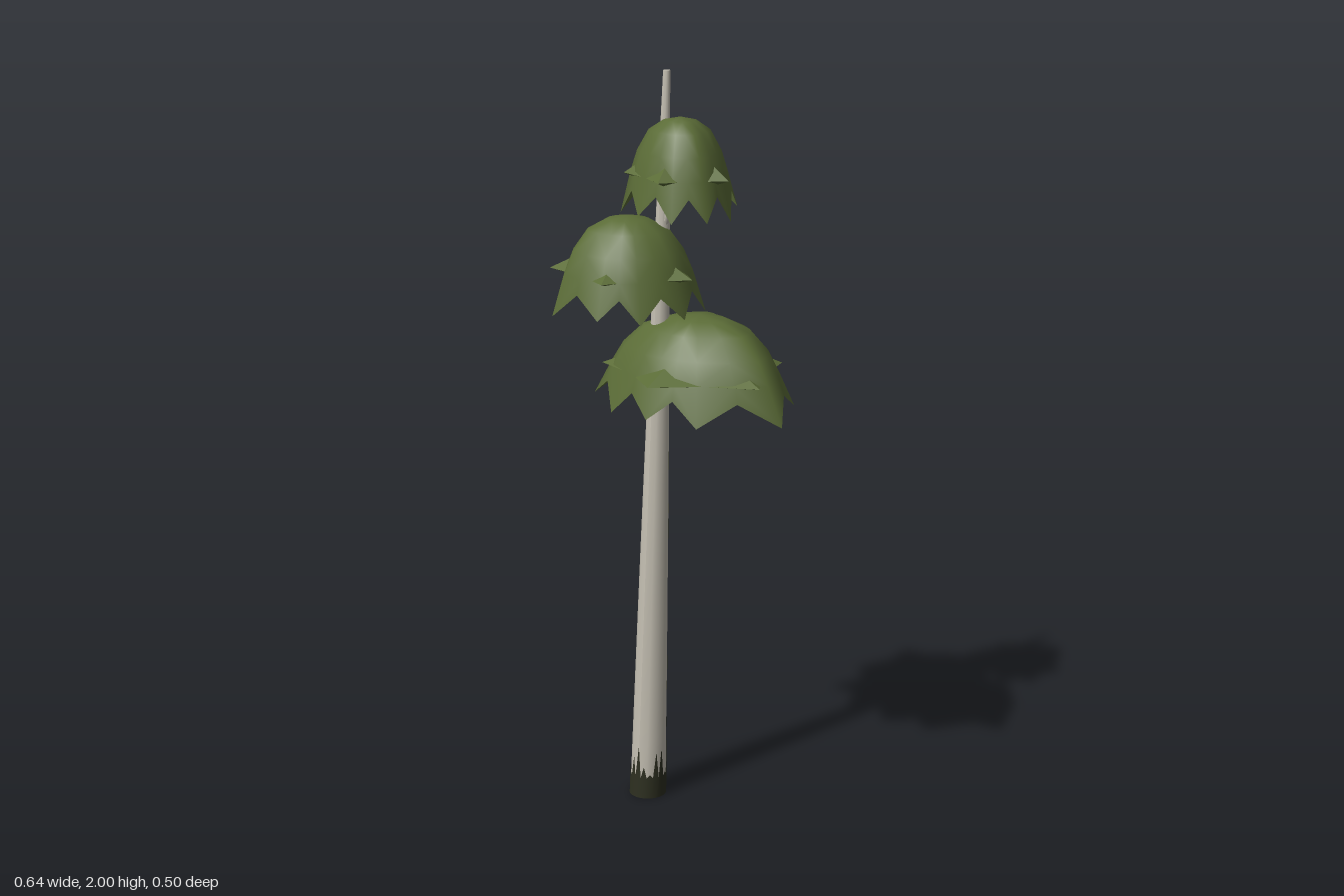
import * as THREE from 'three';

const bark = new THREE.MeshStandardMaterial({ color: 0xc4bfb2, side: THREE.DoubleSide });
bark.name = 'pale bark';
const darkBark = new THREE.MeshStandardMaterial({ color: 0x2d2f20, side: THREE.DoubleSide });
darkBark.name = 'dark bark';
const leaf = new THREE.MeshStandardMaterial({ color: 0x5b6c37, side: THREE.DoubleSide });
leaf.name = 'foliage green';

// Trunk axis and radius at a height: it leans slightly and tapers
const trunkCentre = (y) => new THREE.Vector3(-0.096 + 0.0225 * y, y, 0.045 - 0.0175 * y);
const trunkRadius = (y) => 0.049 - 0.0145 * y - 0.0027 * y * y;
const trunkPoint = (a, y, lift = 0) => {
  const c = trunkCentre(y), r = trunkRadius(y) + lift;
  return c.set(c.x + r * Math.cos(a), y, c.z + r * Math.sin(a));
};

function named(name, geometry, material) {
  const mesh = new THREE.Mesh(geometry, material);
  mesh.name = name;
  return mesh;
}

function surface(points, index) {
  const g = new THREE.BufferGeometry().setFromPoints(points);
  g.setIndex(index);
  g.computeVertexNormals();
  return g;
}

function makeTrunk() {
  const g = new THREE.CylinderGeometry(1, 1, 2, 12, 12);
  const p = g.attributes.position;
  for (let i = 0; i < p.count; i++) {
    const y = p.getY(i) + 1, c = trunkCentre(y), r = trunkRadius(y);
    p.setXYZ(i, c.x + p.getX(i) * r, y, c.z + p.getZ(i) * r);
  }
  g.computeVertexNormals();
  return named('trunk', g, bark);
}

// Dark collar with an uneven upper edge
function makeBase() {
  const n = 36, pts = [], idx = [];
  for (let i = 0; i < n; i++) {
    const a = (i / n) * Math.PI * 2;
    const top = i % 2 ? 0.11 + 0.045 * Math.sin(i * 2.3) : 0.06;
    pts.push(trunkPoint(a, 0, 0.002), trunkPoint(a, top, 0.002));
    const k = 2 * i, m = 2 * ((i + 1) % n);
    idx.push(k, k + 1, m, m, k + 1, m + 1);
  }
  return named('darkBase', surface(pts, idx), darkBark);
}

// Thin vertical bark marks: [angle, height, length]
function makeMarks() {
  const group = new THREE.Group();
  group.name = 'barkMarks';
  const marks = [[-1.0, 0.16, 0.06], [-0.9, 0.3, 0.1], [-1.05, 0.5, 0.16], [-0.9, 0.74, 0.1],
    [-1.0, 0.92, 0.12], [-0.3, 0.2, 0.03], [-2.2, 0.5, 0.03]];
  for (const [a, y, len] of marks) {
    const pts = [trunkPoint(a - 0.07, y, 0.002), trunkPoint(a + 0.07, y, 0.002),
      trunkPoint(a - 0.07, y + len, 0.002), trunkPoint(a + 0.07, y + len, 0.002)];
    group.add(named('barkMark', surface(pts, [0, 2, 1, 1, 2, 3]), darkBark));
  }
  return group;
}

// Points with their midpoints inserted, relative to the centre
function ringFrom(points, [cx, cz]) {
  return points.flatMap((p, i) => {
    const q = points[(i + 1) % points.length];
    return [[p[0] - cx, p[1] - cz], [(p[0] + q[0]) / 2 - cx, (p[1] + q[1]) / 2 - cz]];
  });
}

// Dome with a toothed hem and a star of broad leaf points poking through it.
// tips: plan positions [x, z] of the hanging teeth; pokes: of the star points
function makeCrown({ name, centre, top, bottom, tips, pokes }) {
  const group = new THREE.Group();
  group.name = name;
  const [cx, cz] = centre, h = top - bottom;
  const at = ([x, z], f, y) => new THREE.Vector3(cx + x * f, y, cz + z * f);
  const ring = ringFrom(tips, centre), count = ring.length;

  // Dome rings as [radius fraction, drop fraction]
  const profile = [[0.28, 0.035], [0.54, 0.14], [0.74, 0.35], [0.86, 0.57]];
  const pts = [new THREE.Vector3(cx, top, cz)], idx = [];
  for (const [f, d] of profile) {
    ring.forEach((p, j) => pts.push(at(p, f * (j % 2 ? 1.04 : 0.97), top - h * d)));
  }
  ring.forEach((p, j) => pts.push(j % 2
    ? at(p, 0.95, top - h * 0.73)
    : at(p, 1, bottom + h * 0.04 * (1 + Math.sin(j * 1.7)))));
  for (let j = 0; j < count; j++) {
    const k = (j + 1) % count;
    idx.push(0, 1 + k, 1 + j);
    for (let r = 0; r < profile.length; r++) {
      const a = 1 + r * count + j, b = 1 + r * count + k;
      // keep the diagonals mirrored about each tooth
      if (j % 2) idx.push(a, b, b + count, a, b + count, a + count);
      else idx.push(a, b, a + count, b, b + count, a + count);
    }
  }
  group.add(named('dome', surface(pts, idx), leaf));

  // Leaf star
  const midY = top - h * 0.57;
  const star = [new THREE.Vector3(cx, midY + h * 0.4, cz), new THREE.Vector3(cx, midY - h * 0.2, cz)];
  const starRing = ringFrom(pokes, centre), starIdx = [];
  starRing.forEach((p, j) => {
    star.push(at(p, j % 2 ? 0.9 : 1, midY));
    const a = 2 + j, b = 2 + ((j + 1) % starRing.length);
    starIdx.push(0, b, a, 1, a, b);
  });
  const starGeometry = surface(star, starIdx).toNonIndexed();
  starGeometry.computeVertexNormals();
  group.add(named('leafStar', starGeometry, leaf));
  return group;
}

// Short branch reaching from the trunk into the upper crown
function makeBranch() {
  const curve = new THREE.LineCurve3(trunkCentre(1.58), new THREE.Vector3(0, 1.74, 0.03));
  return named('branch', new THREE.TubeGeometry(curve, 1, 0.009, 6), bark);
}

const crowns = [
  { name: 'lowerCrown', centre: [0.03, -0.02], top: 1.37, bottom: 1.11,
    tips: [[0.32, 0.03], [0.14, 0.155], [0.0, 0.18], [-0.14, 0.14], [-0.26, 0.05],
      [-0.19, -0.11], [-0.05, -0.25], [0.1, -0.21], [0.25, -0.14]],
    pokes: [[0.27, 0.06], [0.025, 0.207], [-0.22, 0.07], [-0.14, -0.195], [0.175, -0.197]] },
  { name: 'middleCrown', centre: [-0.13, 0.075], top: 1.63, bottom: 1.37,
    tips: [[0.06, 0.09], [0.0, 0.2], [-0.1, 0.25], [-0.26, 0.23],
      [-0.32, 0.1], [-0.27, -0.03], [-0.12, -0.1], [0.03, -0.05]],
    pokes: [[0.07, 0.07], [-0.09, 0.245], [-0.32, 0.16], [-0.28, -0.05], [-0.06, -0.095]] },
  { name: 'upperCrown', centre: [0.005, 0.03], top: 1.89, bottom: 1.63,
    tips: [[0.135, 0.1], [0.06, 0.15], [-0.05, 0.14], [-0.155, 0.07],
      [-0.11, -0.05], [-0.01, -0.085], [0.1, -0.09], [0.14, 0.0]],
    pokes: [[0.16, 0.04], [0.03, 0.165], [-0.13, 0.09], [-0.1, -0.06], [0.065, -0.095]] },
];

export function createModel() {
  const tree = new THREE.Group();
  tree.name = 'tree';
  tree.add(makeTrunk(), makeBase(), makeMarks(), makeBranch());
  for (const c of crowns) tree.add(makeCrown(c));
  return tree;
}
